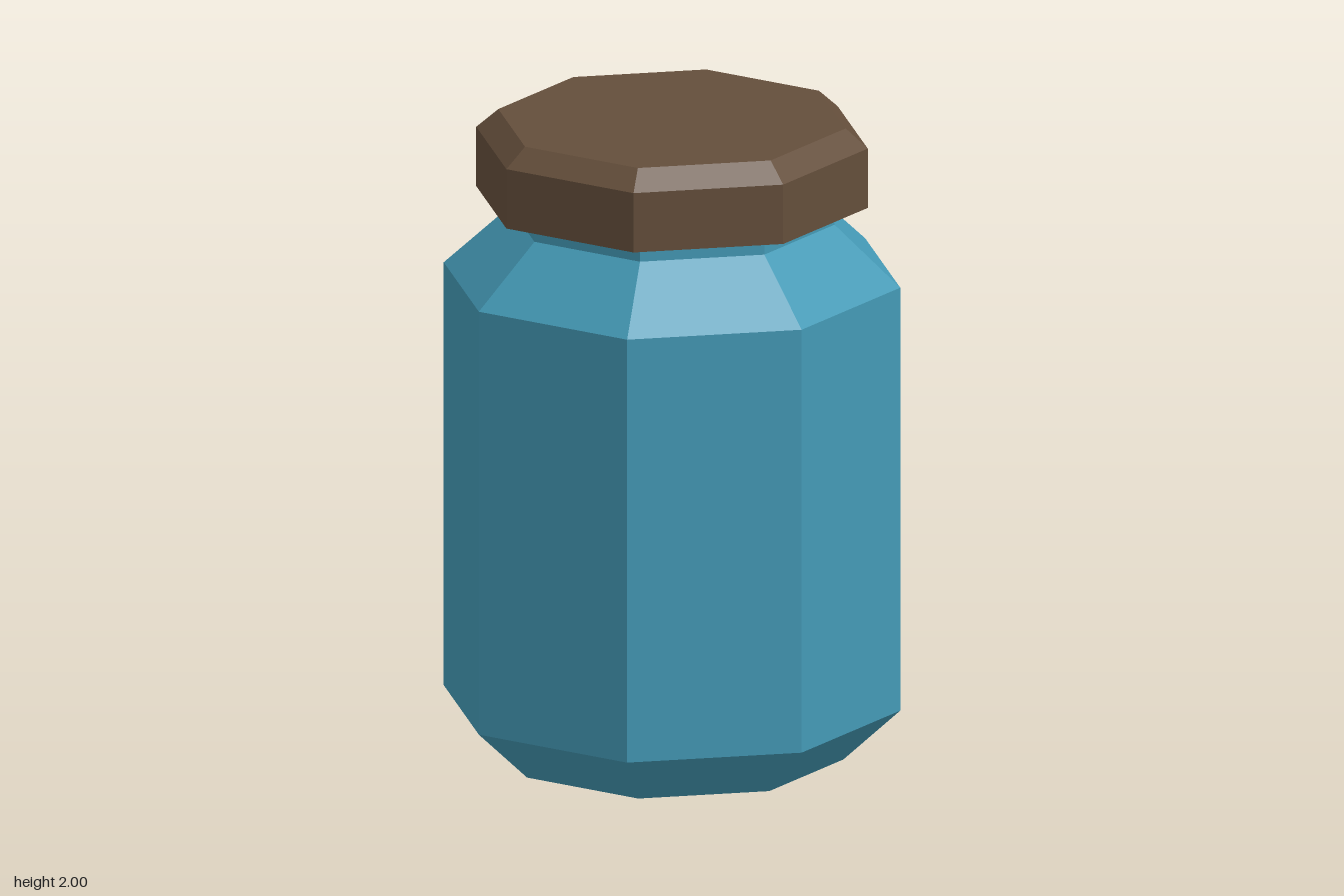
import * as THREE from 'three';

const SIDES = 8;

// Turns an [apothem, height] profile (bottom to top) into a faceted octagonal solid
// whose flat sides face the x and z axes.
function octagonal(name, profile, material) {
  const toCorner = 1 / Math.cos(Math.PI / SIDES);
  const points = profile.map(([a, y]) => new THREE.Vector2(a * toCorner, y));
  const mesh = new THREE.Mesh(new THREE.LatheGeometry(points, SIDES, Math.PI / SIDES), material);
  mesh.name = name;
  return mesh;
}

export function createModel() {
  const glass = new THREE.MeshStandardMaterial({ name: 'tealGlass', color: 0x4499b5, flatShading: true });
  const wood = new THREE.MeshStandardMaterial({ name: 'brownLid', color: 0x644e3b, flatShading: true });

  const group = new THREE.Group();
  group.name = 'jar';

  // Jar: chamfered base, straight sides, sloped shoulder and short neck
  group.add(octagonal('jarBody', [
    [0, 0], [0.49, 0], [0.653, 0.165], [0.653, 1.505], [0.465, 1.693], [0.465, 1.752],
  ], glass));

  // Lid: overhanging cap with a chamfered top edge
  group.add(octagonal('lid', [
    [0, 1.752], [0.56, 1.752], [0.56, 1.94], [0.497, 2], [0, 2],
  ], wood));

  return group;
}
